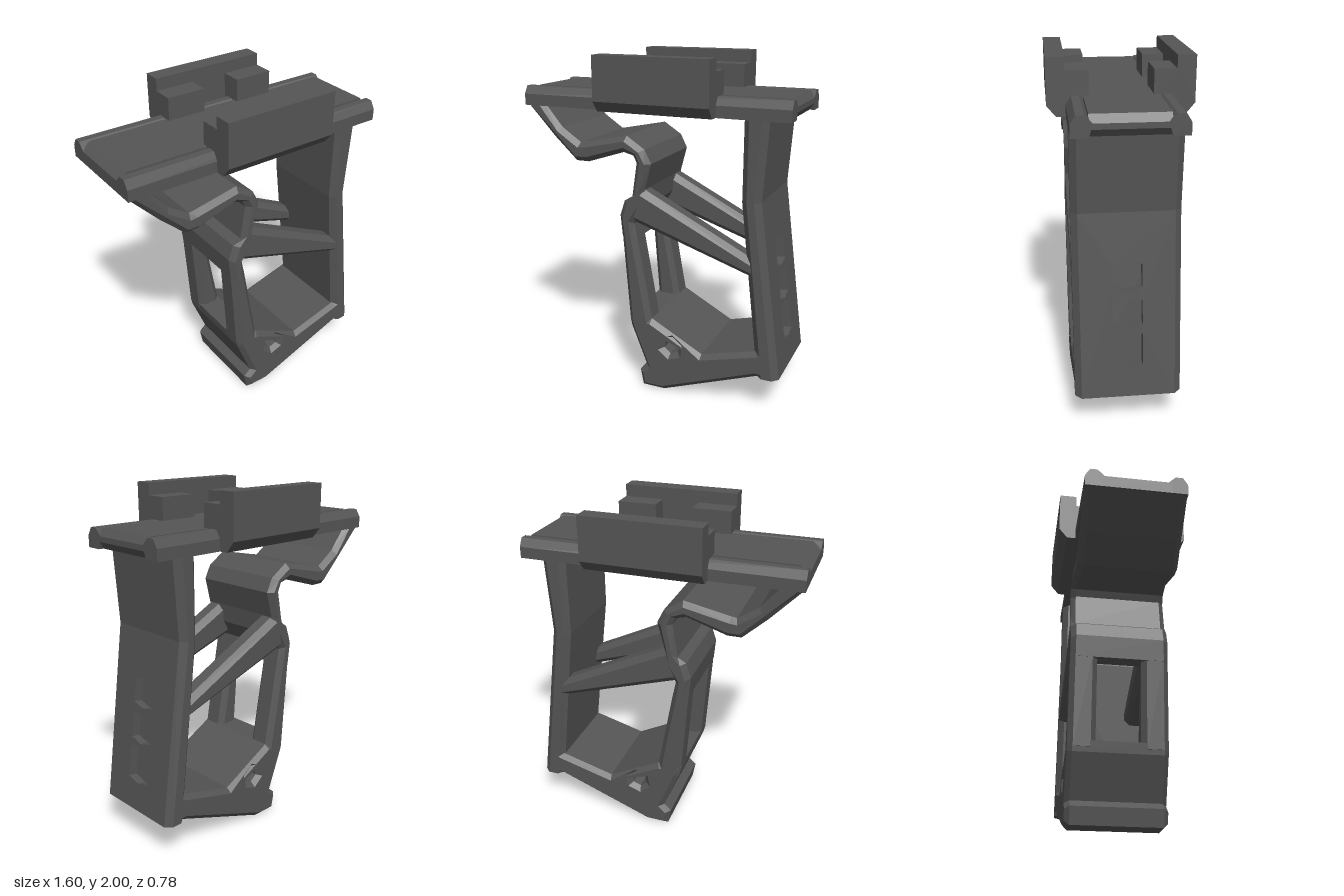
import * as THREE from 'three';

const HALF = 0.29; // half depth of the frame

export function createModel() {
  const model = new THREE.Group();
  const darkGrey = new THREE.MeshStandardMaterial({ color: 0x555555 });

  const add = (name, geometry) => {
    const mesh = new THREE.Mesh(geometry, darkGrey);
    mesh.name = name;
    model.add(mesh);
    return mesh;
  };
  const polygon = (pts) => new THREE.Shape(pts.map(([x, y]) => new THREE.Vector2(x, y)));

  // Bar along x from a [z, y] profile
  const xBar = (pts, x0, x1) =>
    new THREE.ExtrudeGeometry(polygon(pts.map(([z, y]) => [-z, y])), { depth: x1 - x0, bevelEnabled: false })
      .rotateY(Math.PI / 2).translate(x0, 0, 0);

  // Chamfered band through stations [outerX, outerY, innerX, innerY], spanning z0..z1.
  // The outer flat face is left open on the segment numbered openSegment.
  const band = (stations, z0, z1, c = 0.03, openSegment = -1) => {
    const rings = stations.map(([ox, oy, ix, iy]) => {
      const k = c / Math.hypot(ix - ox, iy - oy);
      const p = (t, z) => [ox + (ix - ox) * t, oy + (iy - oy) * t, z];
      return [p(0, z1 - c), p(0, z0 + c), p(k, z0), p(1 - k, z0),
        p(1, z0 + c), p(1, z1 - c), p(1 - k, z1), p(k, z1)];
    });
    const [a, b] = stations;
    const forward = (a[3] - a[1]) * (b[0] - a[0]) - (a[2] - a[0]) * (b[1] - a[1]) > 0;
    const pos = [];
    const tri = (p, q, r) => pos.push(...p, ...(forward ? q : r), ...(forward ? r : q));
    for (let i = 0; i < rings.length - 1; i++) {
      for (let j = 0; j < 8; j++) {
        if (j === 0 && i === openSegment) continue;
        const n = (j + 1) % 8, r = rings[i], s = rings[i + 1];
        tri(r[j], r[n], s[n]);
        tri(r[j], s[n], s[j]);
      }
    }
    const first = rings[0], last = rings[rings.length - 1];
    for (let j = 1; j < 7; j++) {
      tri(first[0], first[j + 1], first[j]);
      tri(last[0], last[j], last[j + 1]);
    }
    const g = new THREE.BufferGeometry();
    g.setAttribute('position', new THREE.Float32BufferAttribute(pos, 3));
    g.computeVertexNormals();
    return g;
  };

  // Top plate: centre with bevelled ends, and chamfered side strips
  const plate = polygon([[-0.8, 1.69], [0.77, 1.69], [0.8, 1.73], [0.8, 1.76],
    [0.77, 1.8], [-0.75, 1.8], [-0.8, 1.76]]);
  add('topPlate', new THREE.ExtrudeGeometry(plate, { depth: 0.4, bevelEnabled: false }).translate(0, 0, -0.2));

  for (const s of [1, -1]) {
    const side = s > 0 ? 'front' : 'rear';
    const mirrored = (pts) => pts.map(([z, y]) => [z * s, y]);
    const span = (zIn, zOut) => (s > 0 ? [zIn, zOut] : [-zOut, -zIn]);

    add(side + 'PlateEdge', xBar(mirrored([[0.18, 1.76], [0.22, 1.8], [0.262, 1.8], [HALF, 1.755],
      [HALF, 1.69], [0.2, 1.69]]), -0.8, 0.8));

    // Clamp rail with two inner tabs
    add(side + 'Rail', xBar(mirrored([[0.24, 1.69], [0.34, 1.69], [0.39, 1.75], [0.39, 2],
      [HALF, 2], [HALF, 1.78], [0.24, 1.78]]), -0.29, 0.39));
    for (const x of [-0.175, 0.275]) {
      add(side + 'RailTab', new THREE.BoxGeometry(0.23, 0.15, 0.13).translate(x, 1.855, s * 0.235));
    }

    // Diagonal brace and window pillar on each side
    add(side + 'Brace', band([[-0.11, 1.05, -0.05, 1.25], [0.62, 0.815, 0.6, 0.93]], ...span(0.15, HALF - 0.002), 0.035));
    add(side + 'Pillar', band([[-0.187, 0.97, -0.095, 0.97], [-0.143, 0.42, 0.005, 0.42]], ...span(0.13, HALF)));
  }

  // Curved guard running into the top of the front wall
  add('guard', band([
    [-0.8, 1.7, -0.68, 1.7], [-0.62, 1.51, -0.57, 1.57], [-0.48, 1.38, -0.45, 1.49],
    [-0.4, 1.38, -0.42, 1.495], [-0.17, 1.455, -0.15, 1.55], [-0.11, 1.44, -0.04, 1.48],
    [-0.09, 1.4, 0, 1.4], [-0.12, 1.2, -0.04, 1.25], [-0.17, 1.17, -0.05, 1.14],
    [-0.2, 1.08, -0.11, 1.04], [-0.187, 0.95, -0.092, 0.95],
  ], -HALF, HALF));

  // Back strap, its lower outer face replaced by a pocketed panel
  add('backStrap', band([[0.68, 1.71, 0.54, 1.71], [0.65, 1.25, 0.54, 1.24], [0.79, 0.22, 0.66, 0.22]],
    -HALF, HALF, 0.035, 1));

  const length = Math.hypot(0.14, 1.03);
  const up = new THREE.Vector3(-0.14, 1.03, 0).divideScalar(length);
  const out = new THREE.Vector3(1.03, 0.14, 0).divideScalar(length);
  const w = HALF - 0.035, depth = 0.05;
  const outline = [[-w, 0], [w, 0], [w, length], [-w, length]];
  const panel = polygon(outline);
  for (const [low, high] of [[0.38, 0.6], [0.615, 0.79], [0.82, 0.99]]) {
    const b = (low - 0.22) / up.y, t = (high - 0.22) / up.y;
    panel.holes.push(polygon([[0, b], [0.08, b + 0.02], [0.08, t - 0.02], [0, t], [-0.08, t - 0.02], [-0.08, b + 0.02]]));
  }
  const frame = new THREE.Matrix4().makeBasis(new THREE.Vector3(0, 0, -1), up, out)
    .setPosition(new THREE.Vector3(0.79, 0.22, 0).addScaledVector(out, -depth));
  add('strapPanel', new THREE.ExtrudeGeometry(panel, { depth, bevelEnabled: false }).applyMatrix4(frame));
  add('pocketFloor', new THREE.ShapeGeometry(polygon(outline)).applyMatrix4(frame));

  // Base block with a six-sided cross hole
  const base = polygon([[-0.06, 0], [0.08, 0], [0.66, 0.22], [0.72, 0.22], [0.71, 0.395], [0.65, 0.375],
    [0.32, 0.285], [0, 0.455], [-0.145, 0.455], [-0.135, 0.39], [-0.035, 0.14], [-0.08, 0.1]]);
  const hole = [];
  for (let i = 0; i < 6; i++) {
    const a = (i * Math.PI) / 3 + 0.35;
    hole.push([0.13 + 0.052 * Math.cos(a), 0.3 + 0.052 * Math.sin(a)]);
  }
  base.holes.push(polygon(hole));
  const bevel = 0.028;
  add('base', new THREE.ExtrudeGeometry(base, {
    depth: 2 * (HALF - bevel), bevelSegments: 1, bevelSize: bevel, bevelThickness: bevel, bevelOffset: -bevel,
  }).translate(0, 0, -(HALF - bevel)));

  return model;
}
